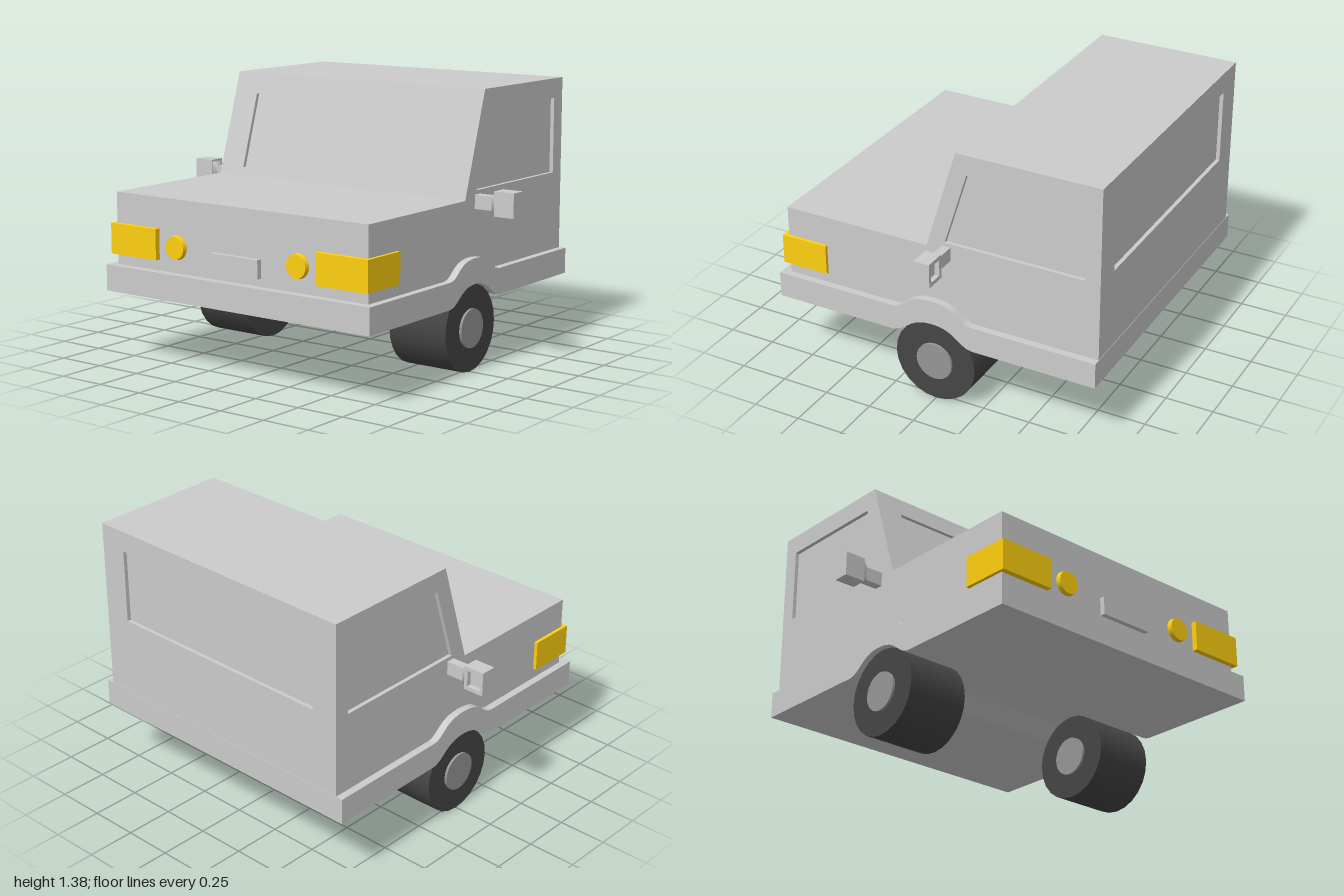
import * as THREE from 'three';

const grey = new THREE.MeshStandardMaterial({ color: 0xcccccc });
const yellow = new THREE.MeshStandardMaterial({ color: 0xffd010 });
const rubber = new THREE.MeshStandardMaterial({ color: 0x454545 });
const hubGrey = new THREE.MeshStandardMaterial({ color: 0x969696 });

const polygon = (pts) => new THREE.Shape(pts.map(([a, b]) => new THREE.Vector2(a, b)));
const rect = (x0, y0, x1, y1) => polygon([[x0, y0], [x1, y0], [x1, y1], [x0, y1]]);
const extrude = (shape, depth, curveSegments = 12) =>
  new THREE.ExtrudeGeometry(shape, { depth, bevelEnabled: false, curveSegments });

// Side profile drawn as (-z, y), extruded across the car from x0 to x1
const across = (shape, x0, x1) =>
  extrude(shape, x1 - x0).rotateY(Math.PI / 2).translate(x0, 0, 0);

const box = (x0, x1, y0, y1, z0, z1) =>
  new THREE.BoxGeometry(x1 - x0, y1 - y0, z1 - z0)
    .translate((x0 + x1) / 2, (y0 + y1) / 2, (z0 + z1) / 2);

export function createModel() {
  const model = new THREE.Group();
  const add = (name, geometry, material = grey, parent = model) => {
    const mesh = new THREE.Mesh(geometry, material);
    mesh.name = name;
    parent.add(mesh);
    return mesh;
  };

  const W = 0.77, INSET = 0.02, ROOF = 1.376, HOOD = 0.85;
  const cabin = (inset) => polygon([
    [-0.83, 0.45], [0.87 - inset, 0.45], [0.87 - inset, ROOF],
    [0.125 + inset, ROOF], [-0.04 + inset, HOOD], [-0.83, HOOD],
  ]);

  // Core body; its recessed faces act as the window panes
  add('bodyCore', across(cabin(INSET), -W + INSET, W - INSET));

  // Side skins with window openings
  for (const side of [1, -1]) {
    const skin = cabin(0);
    skin.holes.push(polygon([[0.06, 0.89], [0.79, 0.89], [0.79, 1.275], [0.182, 1.275]]));
    const [a, b] = side > 0 ? [W - INSET, W] : [-W, -W + INSET];
    add(side > 0 ? 'leftBodySide' : 'rightBodySide', across(skin, a, b));
  }

  // Windshield frame, sheared to follow the slope
  const frontFrame = rect(-W + INSET, HOOD, W - INSET, ROOF);
  frontFrame.holes.push(rect(-0.625, 0.89, 0.625, 1.27));
  const frontGeo = extrude(frontFrame, INSET);
  const pos = frontGeo.attributes.position;
  for (let i = 0; i < pos.count; i++) {
    const t = (pos.getY(i) - HOOD) / (ROOF - HOOD);
    pos.setZ(i, pos.getZ(i) + 0.04 - INSET - 0.165 * t);
  }
  frontGeo.computeVertexNormals();
  add('windshieldFrame', frontGeo);

  // Rear wall with window opening
  const rearFrame = rect(-W + INSET, 0.45, W - INSET, ROOF);
  rearFrame.holes.push(rect(-0.625, 0.89, 0.625, 1.27));
  add('rearWall', extrude(rearFrame, INSET).translate(0, 0, -0.87));

  // Skirt and bumper, with a wheel arch running through the full width
  const skirt = new THREE.Shape();
  skirt.moveTo(-0.875, 0.352);
  skirt.lineTo(-0.22, 0.352);
  skirt.bezierCurveTo(-0.14, 0.36, -0.13, 0.442, 0, 0.442);
  skirt.bezierCurveTo(0.13, 0.442, 0.14, 0.36, 0.22, 0.352);
  skirt.lineTo(0.872, 0.352);
  skirt.lineTo(0.872, 0.485);
  skirt.lineTo(0.22, 0.485);
  skirt.bezierCurveTo(0.14, 0.49, 0.15, 0.57, 0, 0.57);
  skirt.bezierCurveTo(-0.15, 0.57, -0.14, 0.49, -0.22, 0.485);
  skirt.lineTo(-0.875, 0.485);
  add('skirt', across(skirt, -0.808, 0.808));

  // Front plate
  add('frontPlate', box(-0.148, 0.148, 0.525, 0.617, 0.82, 0.856));

  for (const side of [1, -1]) {
    const name = side > 0 ? 'left' : 'right';

    // Headlight wrapping round the front corner, drawn in plan as (x, -z)
    const plan = polygon([
      [0.49, -0.858], [0.787, -0.858], [0.787, -0.607],
      [0.76, -0.607], [0.76, -0.82], [0.49, -0.82],
    ].map(([x, y]) => [side * x, y]));
    add(name + 'Headlight', extrude(plan, 0.155).rotateX(-Math.PI / 2).translate(0, 0.54, 0), yellow);

    // Round lamp
    add(name + 'RoundLamp', new THREE.CylinderGeometry(0.057, 0.062, 0.035, 24)
      .rotateX(Math.PI / 2).translate(side * 0.373, 0.613, 0.836), yellow);

    // Wheel with hub showing on both faces
    const wheel = new THREE.Group();
    wheel.name = name + 'Wheel';
    wheel.position.set(side * 0.618, 0.219, 0);
    add('tyre', new THREE.CylinderGeometry(0.219, 0.219, 0.326, 24).rotateZ(Math.PI / 2), rubber, wheel);
    add('hub', new THREE.CylinderGeometry(0.098, 0.098, 0.352, 24).rotateZ(Math.PI / 2), hubGrey, wheel);
    model.add(wheel);

    // Mirror: stalk, flared neck, front plate and open rim facing backward
    const mirror = new THREE.Group();
    mirror.name = name + 'Mirror';
    const m = side * 0.945;
    add('stalk', box(-0.06, 0.06, 0.8, 0.87, -0.09, -0.045).translate(side * 0.815, 0, 0), grey, mirror);
    add('neck', new THREE.CylinderGeometry(0.075, 0.05, 0.025, 4, 1).rotateY(Math.PI / 4)
      .rotateZ(-side * Math.PI / 2).scale(1, 1, 0.7).translate(side * 0.878, 0.838, -0.068), grey, mirror);
    add('shell', box(-0.055, 0.055, 0.777, 0.9, -0.085, -0.027).translate(m, 0, 0), grey, mirror);
    const rim = rect(-0.055, 0.777, 0.055, 0.9);
    rim.holes.push(rect(-0.037, 0.797, 0.037, 0.88));
    add('rim', extrude(rim, 0.025).translate(m, 0, -0.11), grey, mirror);
    model.add(mirror);
  }

  return model;
}
